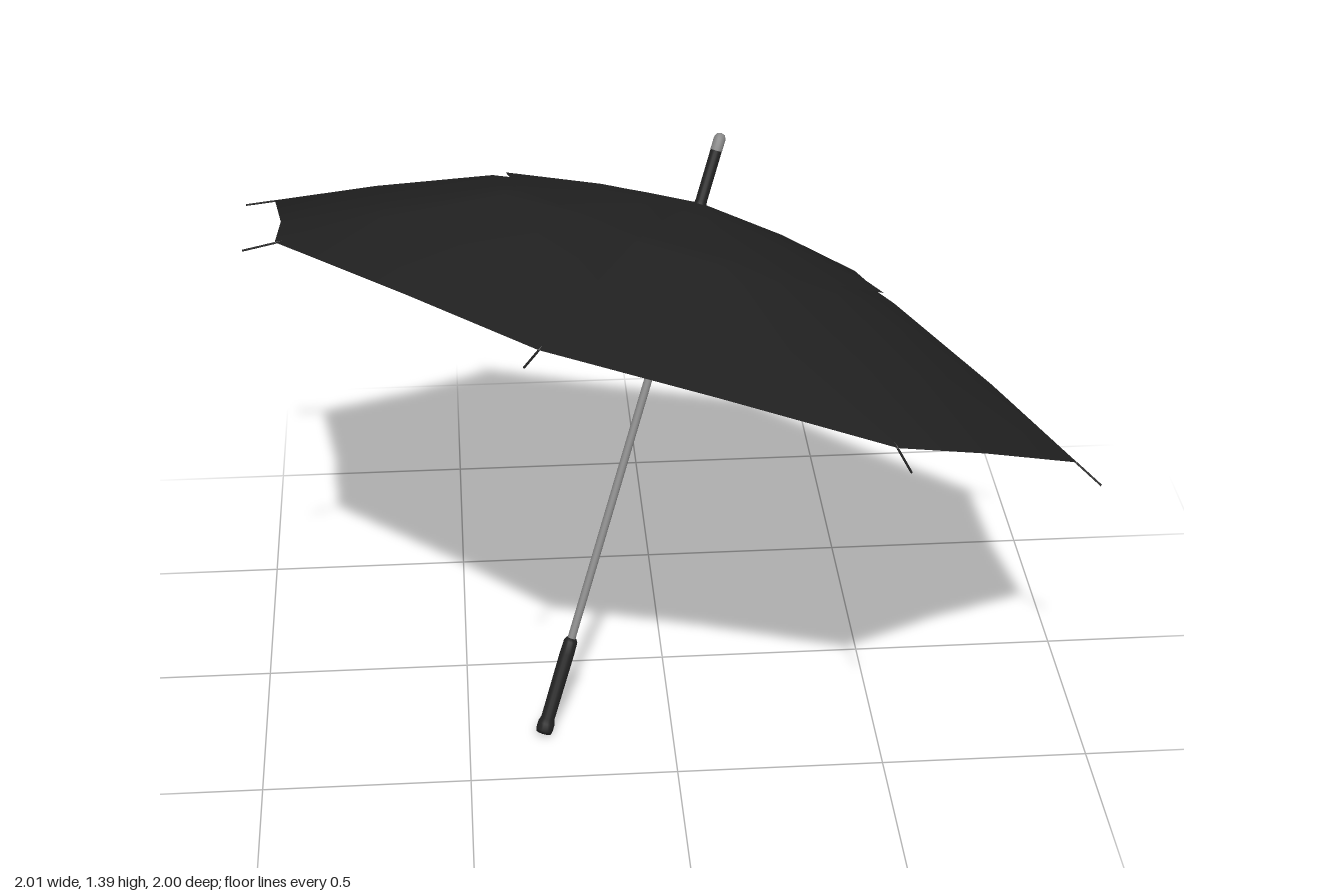
import * as THREE from 'three';

const RIBS = 8;
const V2 = (p) => new THREE.Vector2(p[0], p[1]);
const V3 = (r, y, a) => new THREE.Vector3(r * Math.cos(a), y, r * Math.sin(a));

const paint = (color, side = THREE.FrontSide) => new THREE.MeshStandardMaterial({ color, side });

// Turned part from a [radius, height] profile, listed from bottom to top
function turned(name, profile, material, sides = 16) {
  const mesh = new THREE.Mesh(new THREE.LatheGeometry(profile.map(V2), sides), material);
  mesh.name = name;
  return mesh;
}

// Eight-panel cloth: corners at the ribs, panel middles pulled in to a near-straight hem
function cloth(name, profile, material) {
  const geometry = new THREE.LatheGeometry(profile.map(V2), RIBS * 2);
  const pos = geometry.attributes.position;
  const pull = Math.cos(Math.PI / RIBS) * 0.985;
  for (let i = 0; i < pos.count; i++) {
    const column = Math.floor(i / profile.length);
    if (column % 2) pos.setXYZ(i, pos.getX(i) * pull, pos.getY(i), pos.getZ(i) * pull);
  }
  geometry.computeVertexNormals();
  const mesh = new THREE.Mesh(geometry, material);
  mesh.name = name;
  return mesh;
}

// Straight wire between two points
function wire(name, a, b, radius, material) {
  const dir = b.clone().sub(a);
  const mesh = new THREE.Mesh(new THREE.CylinderGeometry(radius, radius, dir.length(), 6), material);
  mesh.position.copy(a).add(b).multiplyScalar(0.5);
  mesh.quaternion.setFromUnitVectors(new THREE.Vector3(0, 1, 0), dir.normalize());
  mesh.name = name;
  return mesh;
}

export function createModel() {
  const model = new THREE.Group();
  model.name = 'umbrella';
  const fabric = paint(0x222222, THREE.DoubleSide);
  const grip = paint(0x222222);
  const steel = paint(0x888888);
  const ribSteel = paint(0x666666);

  // Everything is built upright, then leaned over as one
  const body = new THREE.Group();
  body.name = 'leaningBody';
  model.add(body);

  // Vented canopy: lower skirt with an overlapping top cap
  body.add(
    cloth('lowerCanopy', [[1.045, 1.04], [0.8, 1.152], [0.52, 1.265], [0.4, 1.288]], fabric),
    cloth('ventCap', [[0.49, 1.281], [0.25, 1.325], [0.01, 1.352]], fabric)
  );

  // Shaft, handle and top spike
  body.add(
    turned('shaft', [[0.01, 0.2], [0.01, 1.37]], steel),
    turned('handle', [[0, -0.008], [0.019, -0.008], [0.021, 0], [0.021, 0.018], [0.017, 0.03],
      [0.018, 0.2], [0.017, 0.232], [0.012, 0.24], [0, 0.24]], grip),
    turned('spike', [[0.016, 1.345], [0.014, 1.36], [0.014, 1.485]], grip),
    turned('spikeTip', [[0.0145, 1.485], [0.0145, 1.515], [0.01, 1.525], [0, 1.528]], steel)
  );

  // Sliding runner and fixed hub
  body.add(
    turned('runner', [[0.01, 1.2], [0.016, 1.2], [0.016, 1.235], [0.022, 1.238], [0.022, 1.25], [0.01, 1.25]], grip),
    turned('hub', [[0.01, 1.325], [0.02, 1.325], [0.02, 1.34], [0.01, 1.34]], grip)
  );

  // Ribs and stretchers, one set per corner
  for (let i = 0; i < RIBS; i++) {
    const a = (i / RIBS) * Math.PI * 2;
    const knee = V3(0.52, 1.258, a);
    const corner = V3(1.045, 1.038, a);
    const rib = new THREE.Group();
    rib.name = 'rib' + (i + 1);
    rib.add(
      wire('innerRib', V3(0.018, 1.333, a), knee, 0.003, ribSteel),
      wire('outerRib', knee, corner, 0.0025, ribSteel),
      wire('ribTip', corner, V3(1.115, 1.006, a), 0.0025, grip),
      wire('stretcher', V3(0.02, 1.243, a), knee, 0.003, ribSteel)
    );
    body.add(rib);
  }

  // Lean: local y follows the shaft, local x points at one canopy corner
  const up = new THREE.Vector3(0.306, 0.898, -0.3125).normalize();
  const side = new THREE.Vector3(0.8986, -0.163, 0.408);
  side.addScaledVector(up, -side.dot(up)).normalize();
  const front = new THREE.Vector3().crossVectors(side, up);
  body.quaternion.setFromRotationMatrix(new THREE.Matrix4().makeBasis(side, up, front));
  body.position.set(-0.315, 0.016, 0.32);
  return model;
}
